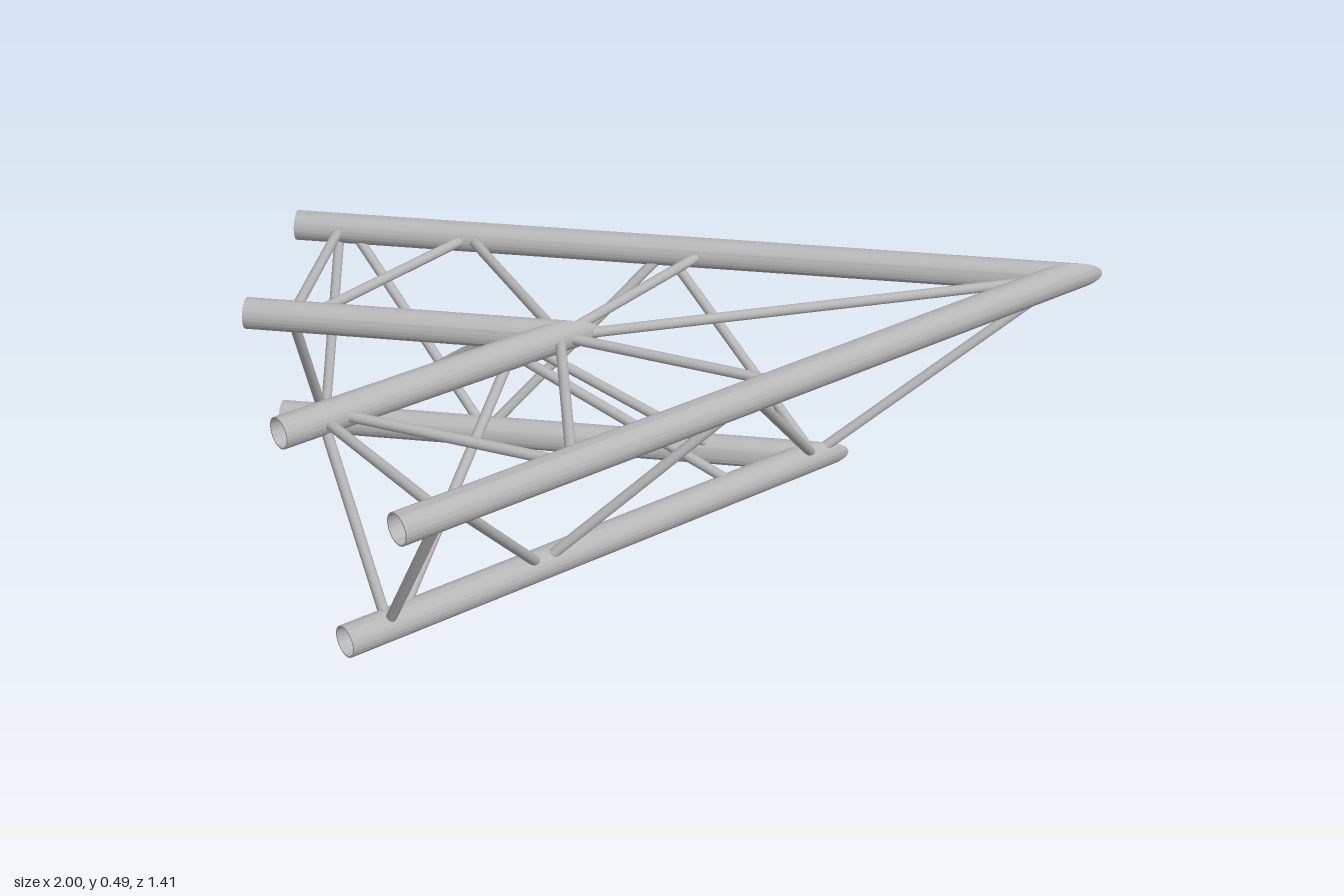
import * as THREE from 'three';
import { toCreasedNormals } from 'three/addons/utils/BufferGeometryUtils.js';

const R = 0.0375, WALL = 0.004, BRACE = 0.0125;
const CORNER = new THREE.Vector3(0.908, 0, 0.666);
const MITRE = 1 / Math.tan(Math.PI / 8); // 45 degree corner, cut at half the angle
const END = -1 - CORNER.x;               // free end of each arm, local x

// chord axes of the triangular section, relative to the outer chord
const CHORDS = {
  outer: { y: 0.4525, z: 0 },
  inner: { y: 0.4525, z: -0.479 },
  lower: { y: 0.0375, z: -0.24 },
};

// braces of one arm: chord, x, chord, x
const BRACES = [
  ['outer', -0.89, 'inner', -0.89],
  ['outer', -0.89, 'lower', -0.89],
  ['inner', -0.89, 'lower', -0.89],
  ['inner', -0.855, 'outer', -0.56],
  ['outer', -0.56, 'inner', -0.25],
  ['inner', -0.25, 'outer', 0.03],
  ['outer', -0.86, 'lower', -0.48],
  ['lower', -0.48, 'outer', -0.065],
  ['outer', -0.065, 'lower', 0.34],
  ['lower', -0.86, 'inner', -0.385],
  ['inner', -0.385, 'lower', 0.1],
];

// hollow tube along -x, mitred at the corner and square at the free end
function chordGeometry({ y, z }, side) {
  const shape = new THREE.Shape().absarc(0, 0, R, 0, Math.PI * 2, false);
  shape.holes.push(new THREE.Path().absarc(0, 0, R - WALL, 0, Math.PI * 2, true));
  const geo = new THREE.ExtrudeGeometry(shape, { depth: 1, bevelEnabled: false, curveSegments: 24 });
  geo.rotateY(-Math.PI / 2);
  geo.translate(0, y, z * side);
  const p = geo.attributes.position;
  for (let i = 0; i < p.count; i++) {
    p.setX(i, p.getX(i) > -0.5 ? MITRE * side * p.getZ(i) : END);
  }
  return toCreasedNormals(geo, 0.6);
}

// thin round bar between two chord axes, stopping just inside the tube walls
function brace(a, b, material, name) {
  const start = a.clone().lerp(b, 0.06), end = b.clone().lerp(a, 0.06);
  const dir = end.clone().sub(start);
  const mesh = new THREE.Mesh(new THREE.CylinderGeometry(BRACE, BRACE, dir.length(), 16), material);
  mesh.position.copy(start).add(end).multiplyScalar(0.5);
  mesh.quaternion.setFromUnitVectors(new THREE.Vector3(0, 1, 0), dir.normalize());
  mesh.name = name;
  return mesh;
}

function buildArm(side, material) {
  const arm = new THREE.Group();
  for (const [name, chord] of Object.entries(CHORDS)) {
    const mesh = new THREE.Mesh(chordGeometry(chord, side), material);
    mesh.name = name + 'Chord';
    arm.add(mesh);
  }
  const point = (c, x) => new THREE.Vector3(x - CORNER.x, CHORDS[c].y, CHORDS[c].z * side);
  for (const [c1, x1, c2, x2] of BRACES) {
    arm.add(brace(point(c1, x1), point(c2, x2), material, c1 + 'To' + c2 + 'Brace'));
  }
  arm.position.copy(CORNER);
  return arm;
}

export function createModel() {
  const model = new THREE.Group();
  model.name = 'trussCorner';
  const metal = new THREE.MeshStandardMaterial({ color: 0xb6b6b6 });
  metal.name = 'aluminium grey';

  // two mirrored arms meeting at 45 degrees
  const straightArm = buildArm(1, metal);
  straightArm.name = 'straightArm';
  const angledArm = buildArm(-1, metal);
  angledArm.name = 'angledArm';
  angledArm.rotation.y = -Math.PI / 4;
  model.add(straightArm, angledArm);

  // bars lying in the mitre plane
  const node = (c) => new THREE.Vector3(
    CORNER.x + MITRE * CHORDS[c].z, CHORDS[c].y, CORNER.z + CHORDS[c].z);
  model.add(brace(node('outer'), node('inner'), metal, 'topMitreBar'));
  model.add(brace(node('outer'), node('lower'), metal, 'slopedMitreBar'));
  return model;
}
